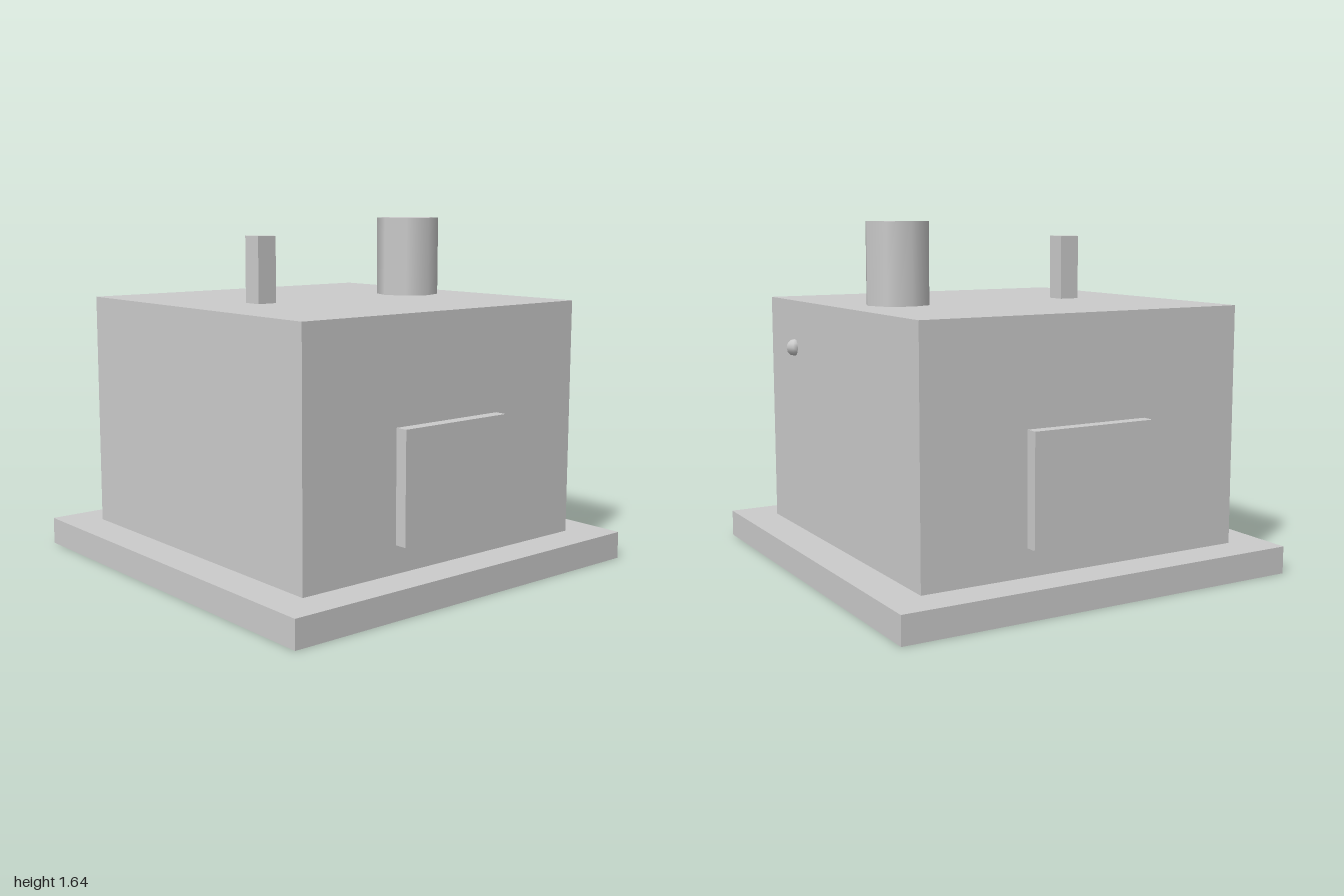
import * as THREE from 'three';

export function createModel() {
  const group = new THREE.Group();
  group.name = 'house';

  const plainGrey = new THREE.MeshStandardMaterial({ color: 0xcccccc });
  plainGrey.name = 'plainGrey';

  function add(name, geometry, x, y, z) {
    const mesh = new THREE.Mesh(geometry, plainGrey);
    mesh.name = name;
    mesh.position.set(x, y, z);
    group.add(mesh);
  }

  // Box standing on a given height
  function addBox(name, w, h, d, x, bottom, z) {
    add(name, new THREE.BoxGeometry(w, h, d), x, bottom + h / 2, z);
  }

  // Ground slab and main block
  addBox('baseSlab', 2, 0.13, 2, 0, 0, 0);
  addBox('body', 1.64, 1.13, 1.64, 0, 0.13, 0);

  // Raised panels on the front and back walls
  for (const [name, side] of [['frontPanel', 1], ['backPanel', -1]]) {
    addBox(name, 0.615, 0.515, 0.06, 0, 0.26, side * 0.85);
  }

  // Roof fittings: thin square post and wide eight-sided chimney
  addBox('roofPost', 0.1, 0.31, 0.1, -0.415, 1.26, 0);
  add('chimney', new THREE.CylinderGeometry(0.154, 0.154, 0.385, 8), 0.51, 1.4525, 0);

  // Small knob on the left wall
  add('knob', new THREE.SphereGeometry(0.041, 6, 6), 0.824, 1.03, 0.513);

  return group;
}
